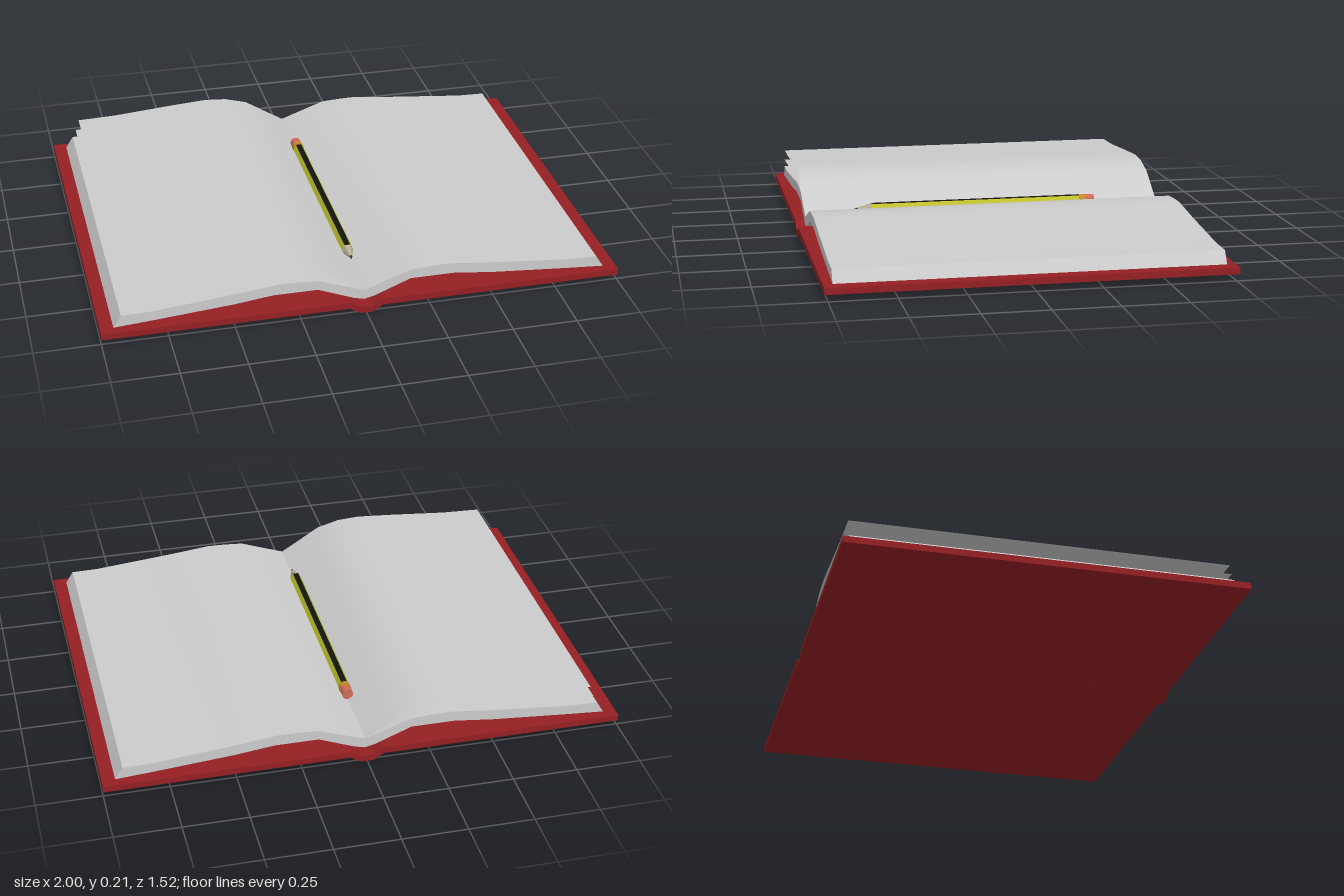
import * as THREE from 'three';
import { toCreasedNormals } from 'three/addons/utils/BufferGeometryUtils.js';

const mat = (color, extra = {}) => new THREE.MeshStandardMaterial({ color, ...extra });

function part(parent, name, geometry, material) {
  const mesh = new THREE.Mesh(geometry, material);
  mesh.name = name;
  parent.add(mesh);
  return mesh;
}

// Extrudes a symmetric slab along z from half profiles that run from the spine outwards
function symmetricSlab(top, bottom, depth, crease) {
  const mirror = (pts) => pts.filter((p) => p[0] > 0).map(([x, y]) => [-x, y]);
  const outline = [
    ...mirror(top).reverse(), ...top,
    ...[...bottom].reverse(), ...mirror(bottom),
  ].map(([x, y]) => new THREE.Vector2(x, y));
  const geo = new THREE.ExtrudeGeometry(new THREE.Shape(outline), { depth, bevelEnabled: false });
  geo.translate(0, 0, -depth / 2);
  return toCreasedNormals(geo, crease);
}

// Thin page following a profile from the spine to its free edge
function sheet(points, depth) {
  const geo = new THREE.PlaneGeometry(1, depth, points.length - 1, 1);
  geo.rotateX(-Math.PI / 2);
  const pos = geo.attributes.position;
  for (let i = 0; i < pos.count; i++) {
    // columns run towards +x, so read the profile from its free edge
    const [x, y] = points[points.length - 1 - (i % points.length)];
    pos.setXY(i, x, y);
  }
  geo.computeVertexNormals();
  return geo;
}

// Cylinder section along z between two depths
function rod(r0, r1, z0, z1, sides, ...rest) {
  const geo = new THREE.CylinderGeometry(r1, r0, z1 - z0, sides, 1, ...rest);
  geo.rotateX(Math.PI / 2);
  geo.translate(0, 0, (z0 + z1) / 2);
  return geo;
}

function createPencil() {
  const pencil = new THREE.Group();
  pencil.name = 'pencil';
  const yellow = mat(0xc2c22c, { flatShading: true });
  const black = mat(0x14140f, { flatShading: true });
  const r = 0.023;

  // Hexagonal body with alternating stripes, a flat on top
  for (let i = 0; i < 6; i++) {
    const start = Math.PI / 6 + (i * Math.PI) / 3;
    part(pencil, 'bodyStripe' + (i + 1),
      rod(r, r, -0.4, 0.46, 1, true, start, Math.PI / 3), i % 2 ? yellow : black);
  }
  // Sharpened end and lead
  part(pencil, 'sharpenedWood', rod(r, 0.006, 0.46, 0.515, 6, false, Math.PI / 6),
    mat(0xb8ad92, { flatShading: true }));
  part(pencil, 'lead', rod(0.006, 0, 0.515, 0.535, 6, false, Math.PI / 6),
    mat(0x3a3a38, { flatShading: true }));
  // Metal band and eraser
  part(pencil, 'ferrule', rod(r, r, -0.42, -0.395, 16), mat(0xc48a2c));
  part(pencil, 'eraser', rod(0.021, 0.021, -0.457, -0.42, 16), mat(0xd06a5c));

  pencil.position.y = 0.1;
  return pencil;
}

export function createModel() {
  const book = new THREE.Group();
  book.name = 'openBook';
  const paper = mat(0xcccccc);
  const thinPaper = mat(0xcccccc, { side: THREE.DoubleSide });

  // Hard cover with a dipped spine
  part(book, 'cover', symmetricSlab(
    [[0, 0.026], [0.025, 0.026], [0.06, 0.05], [1, 0.05]],
    [[0, 0], [0.025, 0], [0.065, 0.025], [1, 0.025]], 1.525, 0.3), mat(0x952023));

  // Page block, arched on both sides of the gutter
  part(book, 'pageBlock', symmetricSlab(
    [[0, 0.078], [0.18, 0.142], [0.26, 0.147], [0.33, 0.148], [0.5, 0.129], [0.81, 0.1], [0.92, 0.098]],
    [[0, 0.038], [0.04, 0.048], [0.18, 0.104], [0.35, 0.104], [0.5, 0.086], [0.81, 0.061], [0.95, 0.051]],
    1.455, 0.6), paper);

  // Two lifted pages on one side
  const lifted = [
    [[0, 0.078], [-0.07, 0.108], [-0.18, 0.158], [-0.26, 0.171], [-0.35, 0.174], [-0.5, 0.162], [-0.75, 0.138], [-0.905, 0.13]],
    [[0, 0.078], [-0.06, 0.115], [-0.16, 0.178], [-0.25, 0.203], [-0.34, 0.209], [-0.48, 0.2], [-0.73, 0.18], [-0.89, 0.175]],
  ];
  lifted.forEach((pts, i) => part(book, 'liftedPage' + (i + 1), sheet(pts, 1.455), thinPaper));

  book.add(createPencil());
  return book;
}
